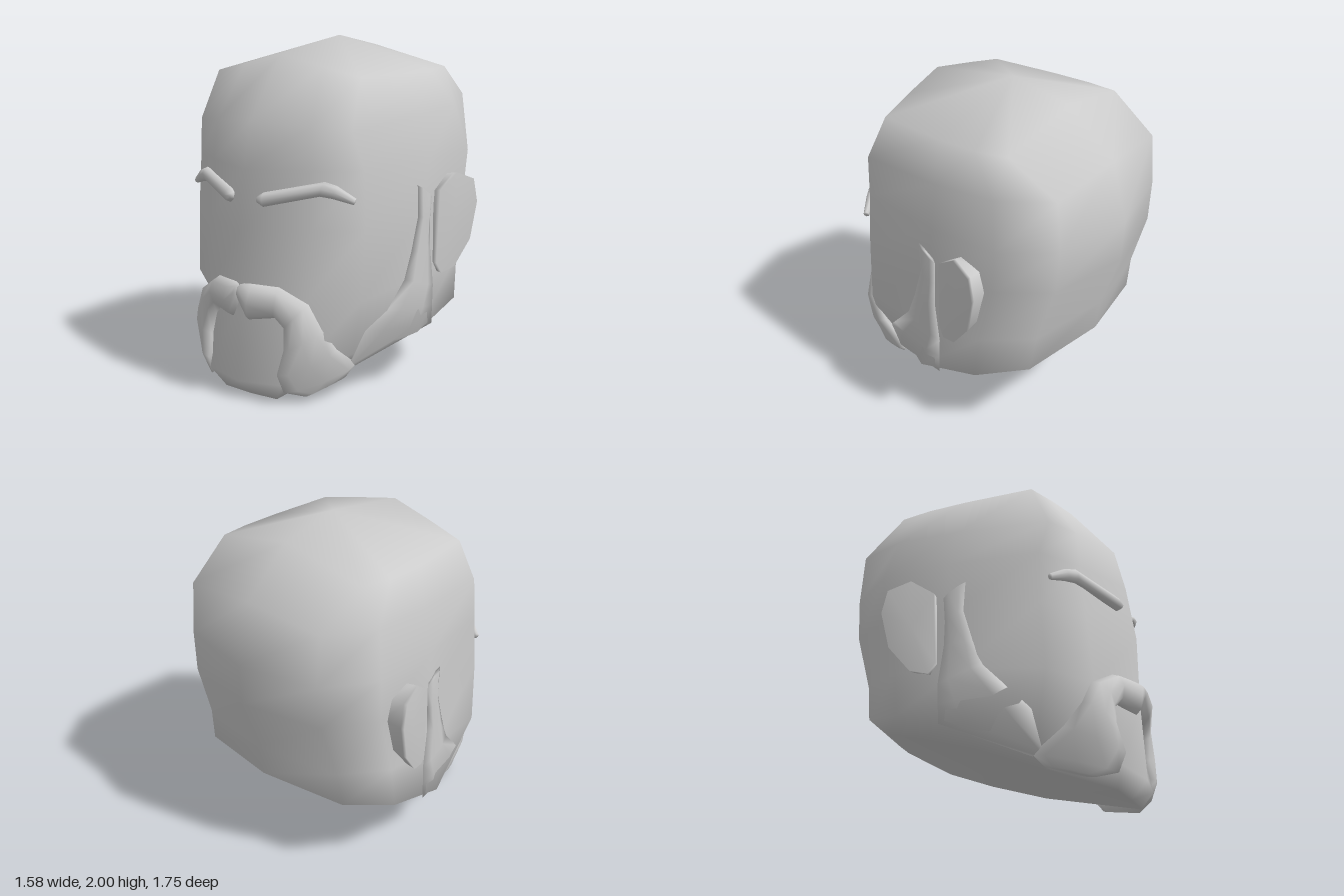
import * as THREE from 'three';
import { mergeVertices } from 'three/addons/utils/BufferGeometryUtils.js';

const V = (x, y, z) => new THREE.Vector3(x, y, z);
const material = new THREE.MeshStandardMaterial({ color: 0xcccccc, side: THREE.DoubleSide });

// Skins a stack of closed rings (counter-clockwise seen from the stack's end).
function skin(rings) {
  const n = rings[0].length, index = [];
  for (let i = 0; i < rings.length - 1; i++) {
    for (let j = 0; j < n; j++) {
      const a = i * n + j, b = i * n + (j + 1) % n;
      index.push(a, b, b + n, a, b + n, a + n);
    }
  }
  let geometry = new THREE.BufferGeometry().setFromPoints(rings.flat());
  geometry.setIndex(index);
  geometry = mergeVertices(geometry, 1e-4);
  geometry.computeVertexNormals();
  return geometry;
}

const pole = (p, n) => Array.from({ length: n }, () => p.clone());

// Flattened strand; each station is [one edge, other edge, half thickness].
function strand(stations, sides = 8) {
  const mids = stations.map(([a, b]) => V(...a).add(V(...b)).multiplyScalar(0.5));
  const last = mids.length - 1;
  const rings = stations.map(([a, b, thick], i) => {
    const across = V(...b).sub(V(...a)).multiplyScalar(0.5);
    const along = mids[Math.min(i + 1, last)].clone().sub(mids[Math.max(i - 1, 0)]);
    const normal = along.cross(across).normalize();
    return Array.from({ length: sides }, (_, k) => {
      const t = (k / sides) * Math.PI * 2;
      return mids[i].clone().addScaledVector(across, Math.cos(t)).addScaledVector(normal, thick * Math.sin(t));
    });
  });
  return skin([pole(mids[0], sides), ...rings, pole(mids[last], sides)]);
}

// Head: tilted layers, each [front z, y, back z, y, half-widths of face, cheek, side, rear,
// then how far back face, cheek and rear sit (0 front, 1 back), and the drop at the sides]
function headGeometry() {
  const layers = [
    [0.75, 0.0, -0.66, 0.49, 0.19, 0.34, 0.48, 0.38, 0.005, 0.26, 0.935, 0],
    [0.85, 0.1, -0.72, 0.54, 0.27, 0.46, 0.685, 0.53, 0.035, 0.29, 0.935, 0],
    [0.83, 0.55, -0.75, 0.74, 0.34, 0.605, 0.68, 0.51, 0.09, 0.2, 0.935, 0],
    [0.83, 0.96, -0.86, 1.08, 0.36, 0.615, 0.665, 0.49, 0.1, 0.2, 0.935, 0],
    [0.78, 1.3, -0.875, 1.33, 0.36, 0.6, 0.68, 0.48, 0.09, 0.18, 0.935, 0],
    [0.72, 1.56, -0.78, 1.68, 0.34, 0.55, 0.615, 0.48, 0.07, 0.13, 0.975, 0.06],
    [0.45, 1.91, -0.48, 1.93, 0.28, 0.515, 0.55, 0.52, 0.02, 0.05, 0.97, 0.12],
  ];
  const rings = layers.map(([zf, yf, zb, yb, face, cheek, side, rear, tFace, tCheek, tRear, drop]) => {
    const half = [[0, 0], [face, tFace], [cheek, tCheek], [side, 0.5], [side, 0.76], [rear, tRear], [0, 1]];
    const right = half.slice(1, -1).reverse().map(([x, t]) => [-x, t]);
    return [...half, ...right].map(([x, t]) =>
      V(x, yf + (yb - yf) * t - drop * Math.abs(x) / side, zf + (zb - zf) * t));
  });
  const n = rings[0].length;
  return skin([pole(V(0, 0.24, 0.05), n), ...rings, pole(V(0, 2, -0.1), n)]);
}

// Ear: a slanted blade flaring outward to the back, rooted in the head.
function earGeometry() {
  const outline = [[-0.1, 0.7], [-0.14, 0.635], [-0.24, 0.66], [-0.36, 0.81],
    [-0.41, 1.03], [-0.38, 1.17], [-0.25, 1.22], [-0.12, 1.13]];
  const flare = (z) => 0.705 + (-0.1 - z) * 0.275;
  const ring = (scale, xOf) => outline.map(([z, y]) => {
    const zz = -0.25 + (z + 0.25) * scale;
    return V(xOf(zz), 0.94 + (y - 0.94) * scale, zz);
  });
  return skin([
    ring(0.93, () => 0.64),
    ring(0.99, (z) => flare(z) - 0.025),
    ring(1, flare),
    pole(V(flare(-0.25) - 0.015, 0.94, -0.25), outline.length),
  ]);
}

export function createModel() {
  const group = new THREE.Group();
  const add = (name, geometry, mirrored) => {
    const mesh = new THREE.Mesh(geometry, material);
    mesh.name = name;
    if (mirrored) mesh.scale.x = -1;
    group.add(mesh);
  };

  add('head', headGeometry());

  const moustache = strand([
    [[0.003, 0.57, 0.82], [0.003, 0.665, 0.82], 0.055],
    [[0.05, 0.46, 0.81], [0.08, 0.67, 0.81], 0.068],
    [[0.2, 0.485, 0.765], [0.22, 0.66, 0.75], 0.07],
    [[0.25, 0.43, 0.75], [0.37, 0.57, 0.68], 0.07],
    [[0.27, 0.31, 0.78], [0.44, 0.43, 0.65], 0.065],
    [[0.255, 0.18, 0.82], [0.465, 0.3, 0.55], 0.06],
    [[0.27, 0.07, 0.78], [0.47, 0.17, 0.37], 0.055],
    [[0.35, 0.035, 0.68], [0.44, 0.1, 0.43], 0.02],
  ]);

  const eyebrow = strand([
    [[0.09, 1.12, 0.765], [0.09, 1.16, 0.765], 0.03],
    [[0.12, 1.1, 0.76], [0.12, 1.18, 0.755], 0.04],
    [[0.41, 1.17, 0.63], [0.43, 1.25, 0.61], 0.035],
    [[0.47, 1.16, 0.6], [0.49, 1.23, 0.58], 0.03],
    [[0.575, 1.13, 0.545], [0.585, 1.165, 0.535], 0.018],
  ]);

  // Sideburn widening into the jaw and tapering to the moustache end
  const sideburn = strand([
    [[0.67, 1.18, 0.06], [0.685, 1.1, -0.07], 0.015],
    [[0.67, 1.0, 0.05], [0.68, 0.95, -0.06], 0.02],
    [[0.665, 0.8, 0.11], [0.685, 0.8, -0.06], 0.02],
    [[0.66, 0.65, 0.17], [0.69, 0.57, -0.09], 0.018],
    [[0.64, 0.5, 0.31], [0.69, 0.45, -0.085], 0.018],
    [[0.56, 0.39, 0.41], [0.69, 0.34, -0.08], 0.018],
    [[0.48, 0.2, 0.43], [0.46, 0.16, 0.37], 0.015],
  ], 6);

  const ear = earGeometry();
  for (const [side, mirrored] of [['left', false], ['right', true]]) {
    add(side + 'Moustache', moustache, mirrored);
    add(side + 'Eyebrow', eyebrow, mirrored);
    add(side + 'Sideburn', sideburn, mirrored);
    add(side + 'Ear', ear, mirrored);
  }
  return group;
}
